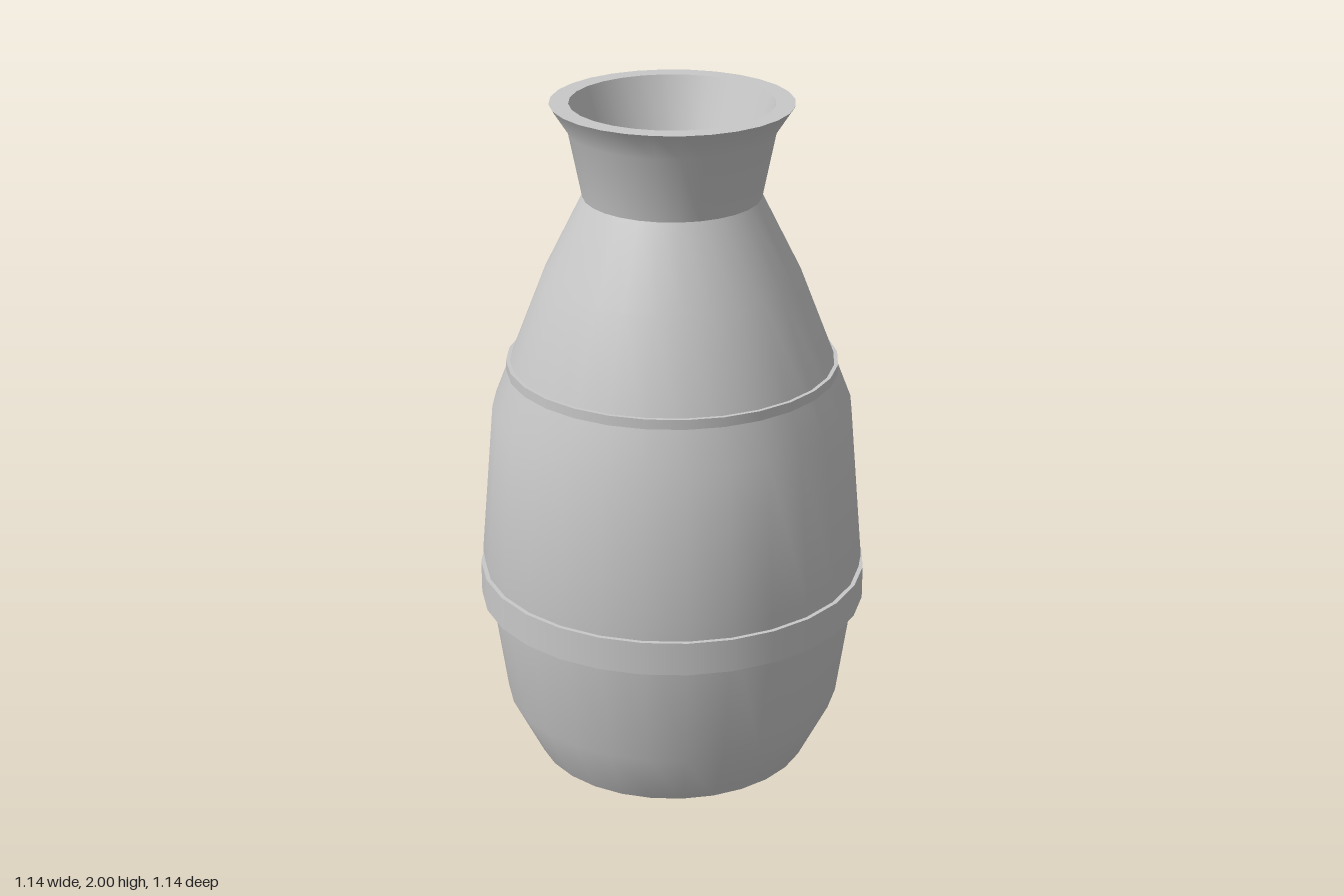
import * as THREE from 'three';

const SIDES = 28;

export function createModel() {
  const group = new THREE.Group();
  group.name = 'vase';
  const clay = new THREE.MeshStandardMaterial({ color: 0xc8c8c8 });
  clay.name = 'grey clay';

  // Turn a profile of [radius, height] pairs, ordered so that faces point outward.
  const turn = (name, ...profile) => {
    const points = profile.map(([r, y]) => new THREE.Vector2(r, y));
    const mesh = new THREE.Mesh(new THREE.LatheGeometry(points, SIDES), clay);
    mesh.name = name;
    group.add(mesh);
  };

  // Raised band with sharp edges: underside, wall and top are separate surfaces.
  const band = (name, inner, outer, bottom, top) => {
    turn(name + 'Underside', [inner, bottom], [outer, bottom]);
    turn(name + 'Wall', [outer, bottom], [outer, top]);
    turn(name + 'Top', [outer, top], [inner, top]);
  };

  // Belly and shoulder
  turn('base', [0, 0], [0.41, 0]);
  turn('body', [0.41, 0], [0.5, 0.18], [0.565, 0.64], [0.525, 1.1], [0.37, 1.5], [0.255, 1.73]);

  // Bands around the belly and shoulder
  band('bellyBand', 0.5, 0.572, 0.5, 0.6);
  band('shoulderBand', 0.44, 0.482, 1.2, 1.24);

  // Flared neck, flat lip and shallow opening
  turn('neck', [0.255, 1.73], [0.293, 1.92], [0.345, 2]);
  turn('lip', [0.345, 2], [0.29, 2]);
  turn('openingWall', [0.29, 2], [0.218, 1.78]);
  turn('openingFloor', [0.218, 1.78], [0, 1.78]);

  return group;
}
